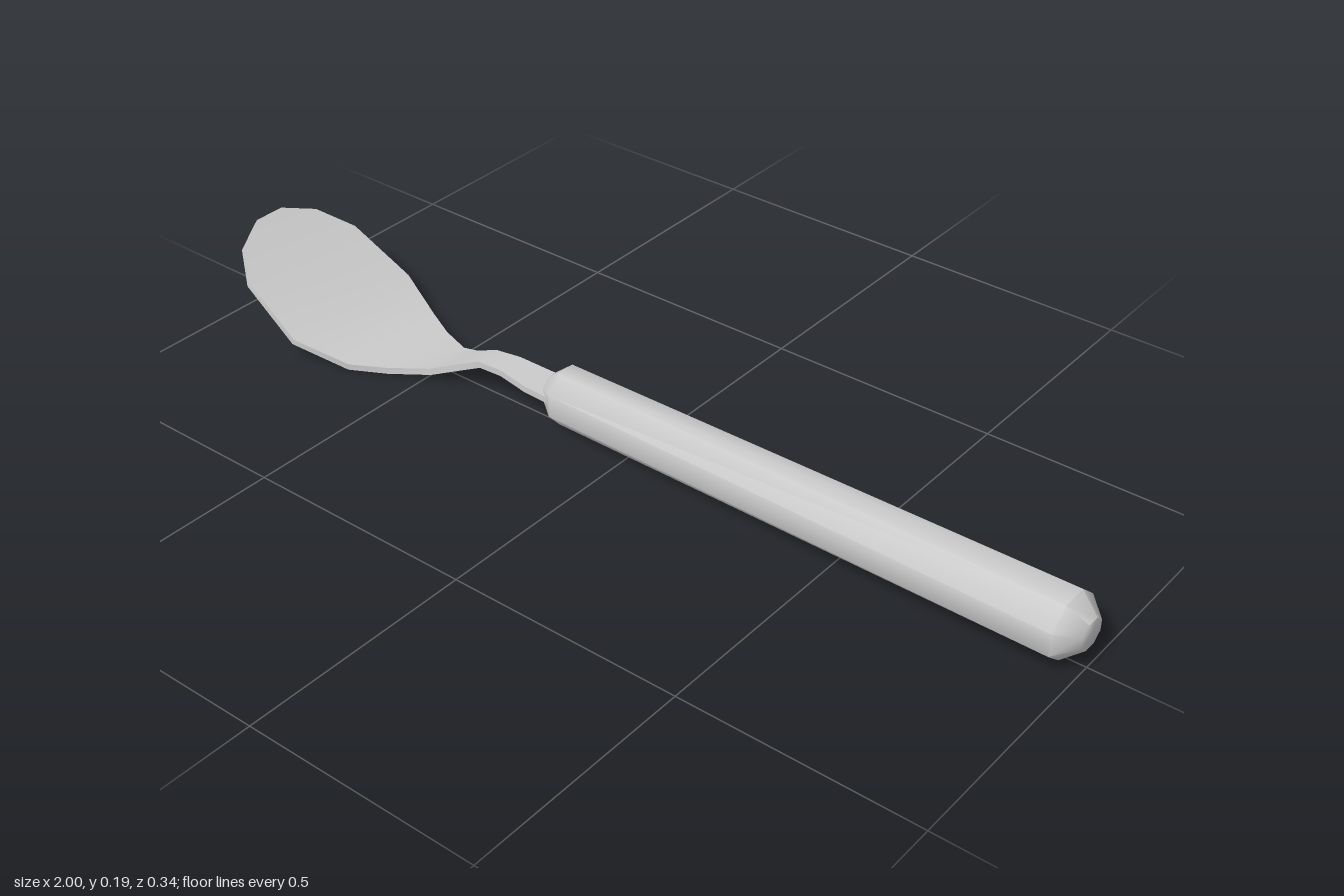
import * as THREE from 'three';
import { toCreasedNormals } from 'three/addons/utils/BufferGeometryUtils.js';

const material = new THREE.MeshStandardMaterial({ color: 0xcccccc });

// Skin a list of rings running towards +x, each ring turning from +y to +z; both ends are closed.
function loft(name, rings) {
  const n = rings[0].length;
  const pos = [];
  const tri = (...pts) => pts.forEach((p) => pos.push(...p));
  const centre = (ring) => [0, 1, 2].map((k) => ring.reduce((s, p) => s + p[k], 0) / n);
  const first = rings[0];
  const last = rings[rings.length - 1];
  for (let j = 0; j < n; j++) {
    const k = (j + 1) % n;
    for (let i = 0; i < rings.length - 1; i++) {
      const a = rings[i], b = rings[i + 1];
      tri(a[j], a[k], b[j]);
      tri(b[j], a[k], b[k]);
    }
    tri(centre(first), first[k], first[j]);
    tri(centre(last), last[j], last[k]);
  }
  const geometry = new THREE.BufferGeometry();
  geometry.setAttribute('position', new THREE.Float32BufferAttribute(pos, 3));
  const mesh = new THREE.Mesh(toCreasedNormals(geometry, 0.9), material);
  mesh.name = name;
  return mesh;
}

// Octagonal grip ring: half height h, half width w
function gripRing([x, h, w]) {
  const c = 0.41;
  return [[1, c], [c, 1], [-c, 1], [-1, c], [-1, -c], [-c, -1], [c, -1], [1, -c]]
    .map(([y, z]) => [x, 0.078 + y * h, z * w]);
}

// Thin rectangular rings set square to the side profile of [x, y, half width]
function sheetRings(profile, halfThickness) {
  return profile.map(([x, y, w], i) => {
    const p = profile[Math.max(i - 1, 0)];
    const q = profile[Math.min(i + 1, profile.length - 1)];
    const len = Math.hypot(q[0] - p[0], q[1] - p[1]);
    const dx = (-(q[1] - p[1]) / len) * halfThickness;
    const dy = ((q[0] - p[0]) / len) * halfThickness;
    return [[x + dx, y + dy, -w], [x + dx, y + dy, w], [x - dx, y - dy, w], [x - dx, y - dy, -w]];
  });
}

export function createModel() {
  const group = new THREE.Group();
  group.name = 'spoon';

  // Handle with chamfered ends, widening towards the butt
  group.add(loft('handle', [
    [-0.2, 0.032, 0.028],
    [-0.165, 0.0595, 0.052],
    [0.96, 0.0595, 0.071],
    [1.0, 0.028, 0.033],
  ].map(gripRing)));

  // Bowl and neck as one bent sheet
  group.add(loft('bowlAndNeck', sheetRings([
    [-0.997, 0.19, 0.035],
    [-0.965, 0.168, 0.105],
    [-0.9, 0.127, 0.155],
    [-0.76, 0.048, 0.17],
    [-0.645, 0.012, 0.128],
    [-0.57, 0.014, 0.09],
    [-0.485, 0.027, 0.052],
    [-0.43, 0.05, 0.035],
    [-0.37, 0.079, 0.028],
    [-0.31, 0.085, 0.031],
    [-0.24, 0.079, 0.038],
    [-0.15, 0.079, 0.042],
  ], 0.007)));

  return group;
}
